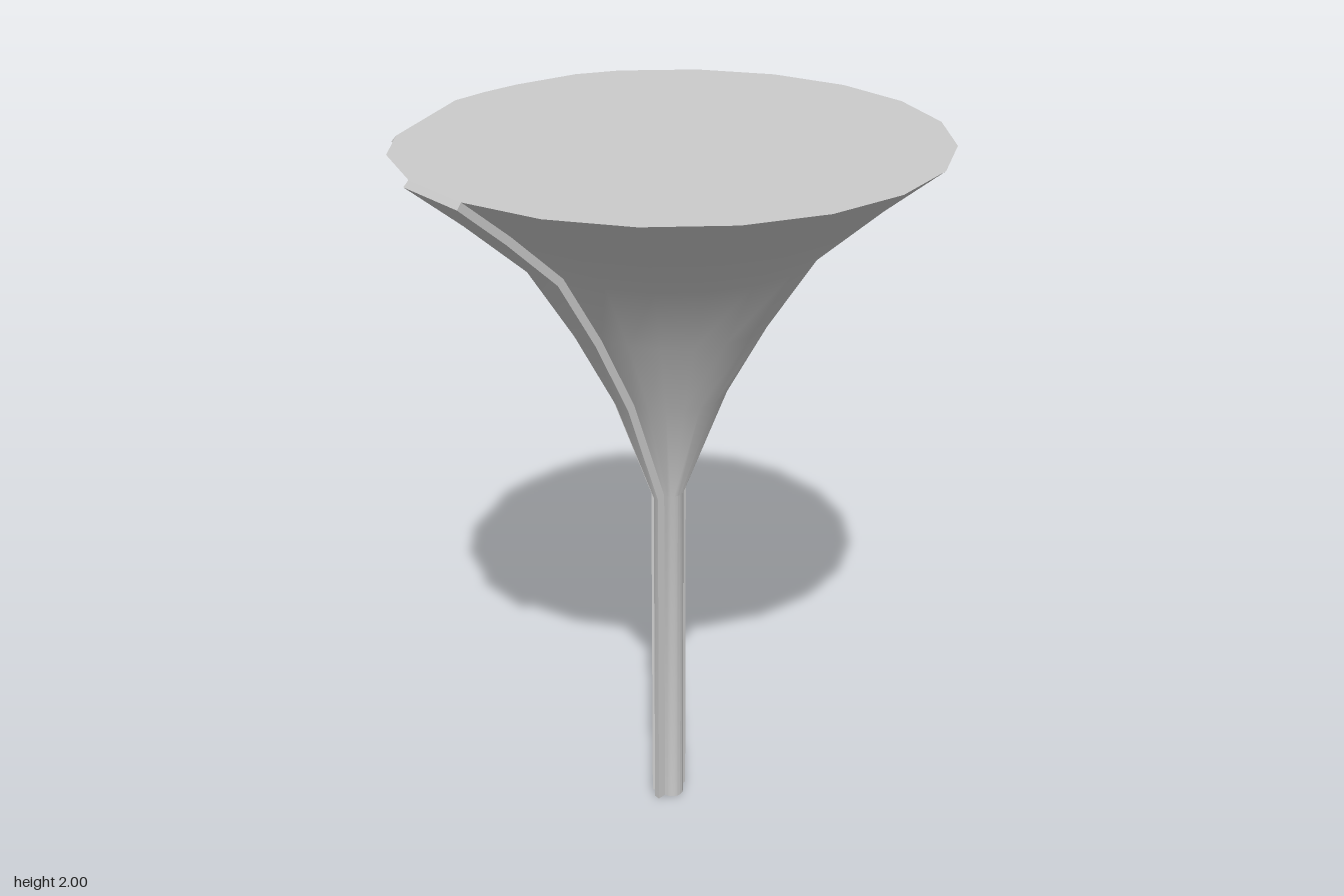
import * as THREE from 'three';
import { toCreasedNormals } from 'three/addons/utils/BufferGeometryUtils.js';

const CX = -0.01; // axis of the stem

// Profile levels: radius, height, and the rib's outward offset (radius, height)
const LEVELS = [
  [0.032, 0, 0.027, 0],
  [0.032, 1, 0.026, -0.005],
  [0.15, 1.31, 0.023, -0.01],
  [0.27, 1.53, 0.021, -0.012],
  [0.4, 1.73, 0.019, -0.014],
  [0.57, 1.88, 0.016, -0.016],
  [0.72, 2, 0.014, -0.016],
];

// Corners of the cross-section: [angle in degrees, relative radius]
const LEFT_SIDE = [[144, 1], [154.3, 0.994], [170.5, 0.965], [180, 0.96], [189.5, 0.965], [220, 0.975]];
const SECTION = [];
for (let a = -126; a <= 126; a += 18) SECTION.push([a, 1]);
SECTION.push(...LEFT_SIDE);

const corner = ([deg, rho], r, y, out = 0) => {
  const a = THREE.MathUtils.degToRad(deg);
  const d = rho * r + out;
  return new THREE.Vector3(CX + d * Math.cos(a), y, -d * Math.sin(a));
};

// Skin a stack of rings (counter-clockwise from above) and cap both ends
function loft(rings, material) {
  const n = rings[0].length;
  const index = [];
  for (let i = 0; i < rings.length - 1; i++) {
    for (let j = 0; j < n; j++) {
      const a = i * n + j, b = i * n + (j + 1) % n;
      index.push(a, b, b + n, a, b + n, a + n);
    }
  }
  const hub = n - 2; // fan centre of the caps
  const top = (rings.length - 1) * n;
  for (let k = 1; k < n - 1; k++) {
    const p = (hub + k) % n, q = (hub + k + 1) % n;
    index.push(hub, q, p, top + hub, top + p, top + q);
  }
  const geometry = new THREE.BufferGeometry().setFromPoints(rings.flat());
  geometry.setIndex(index);
  return new THREE.Mesh(toCreasedNormals(geometry, 0.6), material);
}

export function createModel() {
  const group = new THREE.Group();
  group.name = 'flaredColumn';
  const material = new THREE.MeshStandardMaterial({ color: 0xcccccc });

  // Stem flaring into a funnel with a flat top
  const column = loft(LEVELS.map(([r, y]) => SECTION.map((c) => corner(c, r, y))), material);
  column.name = 'stemAndFunnel';
  group.add(column);

  // Raised ribs, each following one stretch of the cross-section
  const ribs = {
    backRib: [[90, 1], [108, 1]],
    backSideRib: LEFT_SIDE.slice(0, 3),
    frontSideRib: LEFT_SIDE.slice(4),
    frontRib: [[252, 1], [270, 1]],
  };
  for (const [name, stretch] of Object.entries(ribs)) {
    const rings = LEVELS.map(([r, y, out, drop]) => [
      ...stretch.map((c) => corner(c, r, y + drop, out)),
      ...[...stretch].reverse().map((c) => corner(c, r, y)),
    ]);
    const rib = loft(rings, material);
    rib.name = name;
    group.add(rib);
  }
  return group;
}
